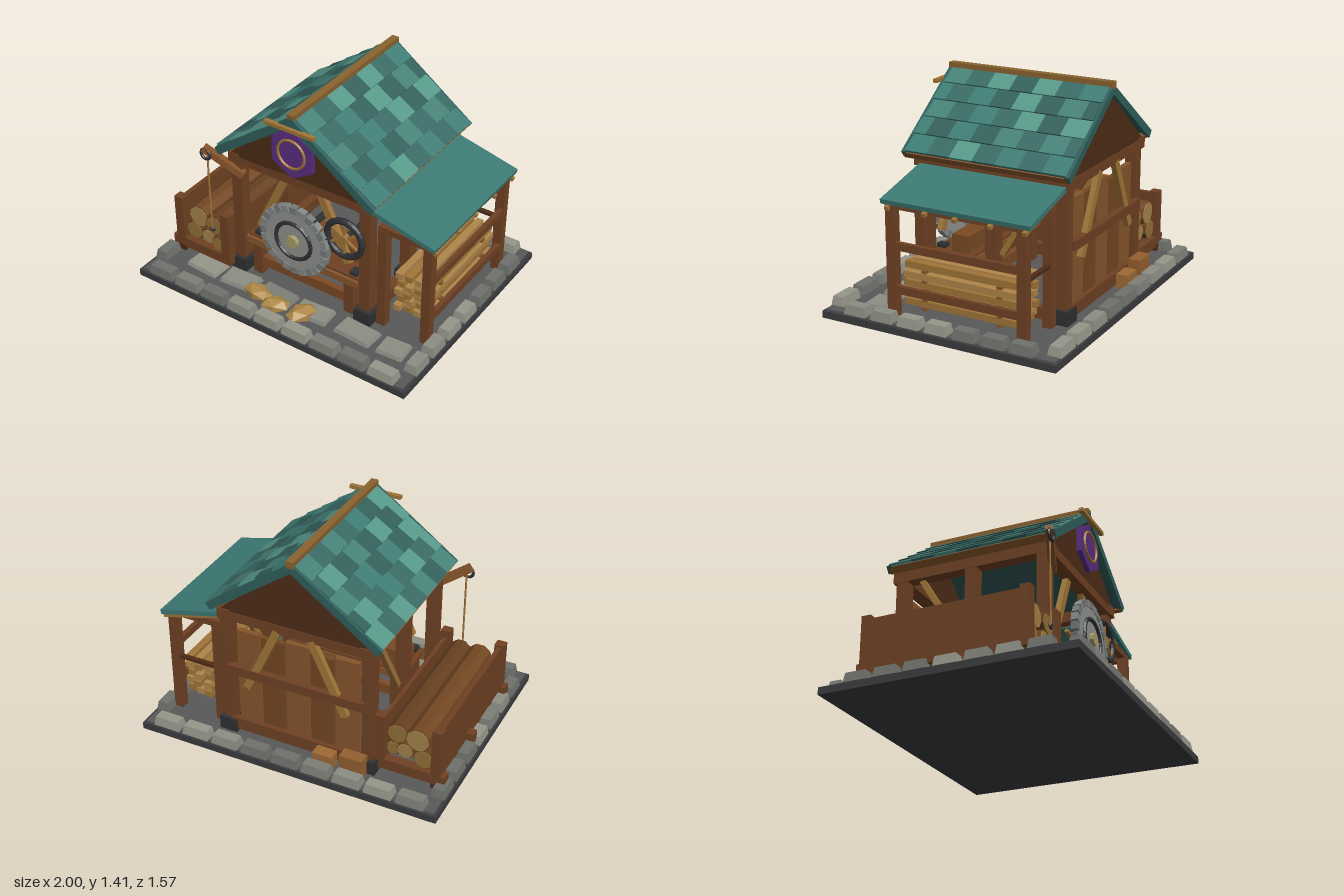
import * as THREE from 'three';

const WOOD = 0x6f4123, DARK = 0x4d2c17, PLANK = 0x87552b, GOLD = 0xa07538, IRON = 0x2e3033, TEAL = 0x3d7a74;
const STONES = [0x7d7f77, 0x8c8e84, 0x6f726c, 0x96968a];
const TILES = [0x3f7d75, 0x34605c, 0x57998a, 0x396a65, 0x478279];

const mats = {};
const mat = (color) => (mats[color] ??= new THREE.MeshStandardMaterial({ color, flatShading: true }));

let seed = 7;
const rand = () => (seed = (seed * 16807) % 2147483647) / 2147483647;
const pick = (list) => list[Math.floor(rand() * list.length)];

export function createModel() {
  const root = new THREE.Group();
  root.name = 'sawmill';
  const group = (name, parent = root) => {
    const g = new THREE.Group();
    g.name = name;
    parent.add(g);
    return g;
  };
  const add = (parent, name, geometry, color, x = 0, y = 0, z = 0) => {
    const m = new THREE.Mesh(geometry, mat(color));
    m.name = name;
    m.position.set(x, y, z);
    parent.add(m);
    return m;
  };
  // Box given by its limits on each axis
  const span = (parent, name, color, [x0, x1], [y0, y1], [z0, z1]) =>
    add(parent, name, new THREE.BoxGeometry(x1 - x0, y1 - y0, z1 - z0), color,
      (x0 + x1) / 2, (y0 + y1) / 2, (z0 + z1) / 2);
  // Square timber between two points
  const beam = (parent, name, color, a, b, w, h = w) => {
    const p = new THREE.Vector3(...a), q = new THREE.Vector3(...b);
    const m = add(parent, name, new THREE.BoxGeometry(w, h, p.distanceTo(q)), color);
    m.position.copy(p).lerp(q, 0.5);
    m.lookAt(q);
    return m;
  };
  // Disc or log whose axis runs along z
  const disc = (parent, name, color, r, depth, x, y, z, sides = 24) =>
    add(parent, name, new THREE.CylinderGeometry(r, r, depth, sides).rotateX(Math.PI / 2), color, x, y, z);
  // Stone block narrowing toward its top
  const stone = (parent, name, w, h, d, x, y, z) => {
    const geo = new THREE.BoxGeometry(w, h, d), p = geo.attributes.position;
    for (let i = 0; i < p.count; i++)
      if (p.getY(i) > 0) p.setXYZ(i, p.getX(i) - Math.sign(p.getX(i)) * 0.01, p.getY(i), p.getZ(i) - Math.sign(p.getZ(i)) * 0.01);
    return add(parent, name, geo, pick(STONES), x, y, z);
  };

  // Ground slab, border stones and paving
  const base = group('base');
  span(base, 'slab', 0x3b3c3e, [-1, 1], [0, 0.045], [-0.787, 0.787]);
  span(base, 'ground', 0x58585a, [-0.98, 0.98], [0.045, 0.055], [-0.77, 0.77]);
  for (const s of [-1, 1]) {
    for (let i = -4; i <= 4; i++) stone(base, 'borderStone', 0.18, 0.06, 0.09, i * 0.207, 0.082, s * 0.735);
    for (let i = -3; i <= 3; i++) stone(base, 'borderStone', 0.09, 0.06, 0.15, s * 0.945, 0.082, i * 0.187);
  }
  [[-0.65, 0.24], [-0.38, 0.24], [-0.1, 0.25], [0.18, 0.24], [0.5, 0.26], [0.76, 0.18]].forEach(([x, w], i) => {
    stone(base, 'pavingStone', w, 0.03, 0.15, x, 0.066, 0.52).rotation.y = (i % 2 ? 1 : -1) * 0.06;
  });

  // Main timber frame
  const frame = group('frame');
  const FRONT = 0.37, MID = -0.095, BACK = -0.56;
  for (const s of [-1, 1]) {
    for (const z of [FRONT, MID, BACK]) {
      add(frame, 'post', new THREE.BoxGeometry(0.075, 0.86, 0.075), WOOD, s * 0.47, 0.49, z);
      add(frame, 'ironFoot', new THREE.BoxGeometry(0.12, 0.09, 0.12), IRON, s * 0.47, 0.1, z);
    }
    span(frame, 'wallPlate', WOOD, [s * 0.47 - 0.04, s * 0.47 + 0.04], [0.88, 0.95], [-0.62, 0.43]);
    beam(frame, 'sideBrace', GOLD, [s * 0.46, 0.4, -0.15], [s * 0.46, 0.88, -0.44], 0.035);
    for (const z of [FRONT - 0.01, BACK - 0.04])
      beam(frame, 'gableBrace', GOLD, [s * 0.33, 0.42, z], [s * 0.11, 0.89, z], 0.035, 0.05);
  }
  for (const z of [FRONT + 0.01, BACK - 0.01])
    span(frame, 'tieBeam', WOOD, [-0.51, 0.51], [0.88, 0.94], [z - 0.045, z + 0.045]);
  span(frame, 'sideSill', WOOD, [-0.5, -0.44], [0.055, 0.13], [BACK, FRONT]);
  span(frame, 'sideSill', WOOD, [0.44, 0.5], [0.055, 0.13], [BACK, FRONT]);

  // Gable triangles
  const tri = new THREE.Shape([[-0.51, 0], [0.51, 0], [0, 0.41]].map(([x, y]) => new THREE.Vector2(x, y)));
  for (const z of [0.39, -0.61])
    add(frame, 'gable', new THREE.ExtrudeGeometry(tri, { depth: 0.035, bevelEnabled: false }), DARK, 0, 0.93, z);

  // Back wall of uneven boards with two rails
  const wall = group('backWall');
  [0.8, 0.78, 0.81, 0.79, 0.8].forEach((top, i) => {
    const x = (i - 2) * 0.164;
    span(wall, 'board', i % 2 ? 0x744722 : PLANK, [x - 0.074, x + 0.074], [0.08, top], [-0.58, -0.545]);
  });
  span(wall, 'rail', WOOD, [-0.45, 0.45], [0.5, 0.56], [-0.625, -0.58]);
  span(wall, 'sill', WOOD, [-0.45, 0.45], [0.08, 0.16], [-0.61, -0.57]);
  span(wall, 'crate', 0x94602f, [-0.48, -0.33], [0.055, 0.19], [-0.69, -0.61]);
  span(wall, 'crate', 0xa06a35, [-0.28, -0.15], [0.055, 0.15], [-0.69, -0.61]);

  // Main roof: two slopes with staggered courses of tiles
  const roof = group('roof');
  const ang = 0.628, len = 0.69, row = len / 5;
  for (const s of [-1, 1]) {
    const slope = group('roofSlope', roof);
    slope.position.y = 1.375;
    slope.rotation.z = -s * ang;
    add(slope, 'slab', new THREE.BoxGeometry(len, 0.025, 1.09), 0x2f5855, s * len / 2, -0.012, -0.08);
    for (const z of [0.462, -0.622])
      add(slope, 'bargeboard', new THREE.BoxGeometry(len + 0.01, 0.05, 0.03), 0x2f5f5b, s * (len + 0.01) / 2, -0.012, z);
    for (let r = 0; r < 5; r++) {
      for (let c = 0; c < 8; c++) {
        const shift = r % 2 ? 0.076 : 0;
        const z0 = Math.max(-0.62, -0.62 + c * 0.153 - shift), z1 = Math.min(0.46, -0.62 + (c + 1) * 0.153 - shift);
        if (z1 - z0 < 0.02) continue;
        const color = (r + c) % 2 ? pick([TILES[1], TILES[3]]) : pick([TILES[0], TILES[2], TILES[4]]);
        add(slope, 'tile', new THREE.BoxGeometry(row + 0.012, 0.016, z1 - z0), color,
          s * (r + 0.5) * row, 0.011, (z0 + z1) / 2).rotation.z = s * 0.06;
      }
    }
    add(slope, 'eaveTrim', new THREE.BoxGeometry(0.025, 0.045, 1.09), PLANK, s * (len - 0.002), -0.02, -0.075);
  }
  span(roof, 'ridgeBeam', 0x8a622f, [-0.024, 0.024], [1.365, 1.408], [-0.64, 0.475]);

  // Hexagonal plaque with a plain ring, hung from a bar
  const plaque = group('plaque');
  disc(plaque, 'hexPanel', 0x5b2d82, 0.165, 0.03, 0, 1.135, 0.455, 6).rotation.z = 0;
  add(plaque, 'ring', new THREE.TorusGeometry(0.095, 0.009, 6, 24), GOLD, 0, 1.14, 0.475);
  span(plaque, 'hangingBar', GOLD, [-0.175, 0.175], [1.305, 1.328], [0.47, 0.5]);

  // Side lean-to with roof, posts and rails
  const shed = group('leanTo');
  beam(shed, 'shedRoof', TEAL, [0.5, 0.885, -0.1], [0.93, 0.78, -0.1], 0.98, 0.03);
  for (const z of [-0.55, -0.33, -0.1, 0.1, 0.35])
    beam(shed, 'rafter', GOLD, [0.5, 0.855, z], [0.93, 0.74, z], 0.025, 0.025);
  for (const z of [0.345, -0.52]) {
    for (const x of [0.57, 0.878]) span(shed, 'post', WOOD, [x - 0.029, x + 0.029], [0.055, 0.77], [z - 0.03, z + 0.03]);
    span(shed, 'crossBeam', WOOD, [0.54, 0.91], [0.75, 0.79], [z - 0.025, z + 0.025]);
  }
  span(shed, 'sideBeam', WOOD, [0.855, 0.9], [0.735, 0.775], [-0.55, 0.375]);
  for (const y of [0.24, 0.51]) span(shed, 'rail', WOOD, [0.875, 0.905], [y - 0.024, y + 0.024], [-0.5, 0.33]);
  span(shed, 'backRail', DARK, [0.58, 0.87], [0.43, 0.45], [-0.54, -0.51]);

  // Stacked lumber under the lean-to
  const lumber = group('lumber');
  for (let r = 0; r < 5; r++) {
    const y = 0.16 + r * 0.058;
    for (let c = 0; c < 4; c++) {
      const x = 0.63 + c * 0.066 + (r % 2) * 0.014, dz = (rand() - 0.5) * 0.03;
      span(lumber, 'plank', (r + c) % 2 ? GOLD : 0xb0854a, [x - 0.024, x + 0.024], [y - 0.02, y + 0.02], [-0.47 + dz, 0.28 + dz]);
    }
    for (const z of [-0.35, 0.15]) span(lumber, 'spacer', PLANK, [0.61, 0.86], [y - 0.038, y - 0.02], [z - 0.015, z + 0.015]);
  }

  // Log rack on the other side
  const rack = group('logRack');
  span(rack, 'outerWall', WOOD, [-0.915, -0.885], [0.1, 0.455], [-0.54, 0.44]);
  span(rack, 'innerWall', WOOD, [-0.545, -0.52], [0.1, 0.42], [-0.54, 0.44]);
  for (const z of [-0.54, -0.09, 0.45]) {
    span(rack, 'sill', WOOD, [-0.96, -0.5], [0.09, 0.16], [z - 0.03, z + 0.03]);
    span(rack, 'foot', DARK, [-0.93, -0.87], [0.05, 0.1], [z - 0.03, z + 0.03]);
  }
  for (const z of [-0.54, 0.45])
    for (const x of [-0.9, -0.535]) span(rack, 'stake', WOOD, [x - 0.032, x + 0.032], [0.1, 0.47], [z - 0.03, z + 0.03]);
  [[-0.81, 0.225, 0.068], [-0.685, 0.235, 0.055], [-0.6, 0.22, 0.05], [-0.77, 0.35, 0.08], [-0.635, 0.345, 0.07]]
    .forEach(([x, y, r], i) => {
      const dz = (i % 3) * 0.015;
      disc(rack, 'log', i % 2 ? 0x744722 : 0x66401f, r, 0.98, x, y, -0.05 + dz, 9);
      disc(rack, 'logEnds', i % 2 ? 0xa5834a : 0x927038, r * 0.9, 0.99, x, y, -0.05 + dz, 9);
    });

  // Saw bench with a timber carriage
  const bench = group('sawBench');
  for (const z of [0.1, 0.36]) {
    span(bench, 'benchRail', PLANK, [-0.43, 0.43], [0.27, 0.315], [z - 0.03, z + 0.03]);
    span(bench, 'stretcher', 0x7c4a25, [-0.33, 0.33], [0.12, 0.19], [z - 0.02, z + 0.02]);
    for (const x of [-0.345, 0.345]) span(bench, 'leg', WOOD, [x - 0.033, x + 0.033], [0.055, 0.27], [z - 0.03, z + 0.03]);
  }
  span(bench, 'benchTop', WOOD, [-0.42, 0.42], [0.305, 0.33], [0.08, 0.37]);
  span(bench, 'timber', 0x7a4a24, [-0.4, 0.4], [0.33, 0.44], [0.12, 0.24]);
  for (const x of [-0.36, 0.36]) span(bench, 'clamp', IRON, [x - 0.025, x + 0.025], [0.315, 0.355], [0.3, 0.36]);

  // Great toothed blade
  const blade = group('sawBlade');
  blade.position.set(0, 0.51, 0.455);
  disc(blade, 'disc', 0x8f938f, 0.215, 0.03, 0, 0, 0, 32);
  for (let i = 0; i < 24; i++) {
    const a = (i / 24) * Math.PI * 2;
    add(blade, 'tooth', new THREE.BoxGeometry(0.045, 0.05, 0.042), i % 2 ? 0x858a88 : 0x777c7b,
      Math.cos(a) * 0.225, Math.sin(a) * 0.225, 0).rotation.z = a + 0.08;
  }
  add(blade, 'ironRing', new THREE.TorusGeometry(0.128, 0.014, 6, 28), IRON, 0, 0, 0.018);
  disc(blade, 'hub', 0xa7a06a, 0.042, 0.06, 0, 0, 0.01, 10);
  disc(blade, 'axle', IRON, 0.022, 0.36, 0, 0, -0.17, 8);

  // Spoked drive wheel
  const drive = group('driveWheel');
  drive.position.set(0.34, 0.645, 0.425);
  add(drive, 'rim', new THREE.TorusGeometry(0.124, 0.021, 8, 28), IRON);
  for (let i = 0; i < 3; i++)
    add(drive, 'spokes', new THREE.BoxGeometry(0.23, 0.014, 0.014), GOLD).rotation.z = i * Math.PI / 3 + Math.PI / 6;
  disc(drive, 'hub', GOLD, 0.03, 0.04, 0, 0, 0, 10);
  disc(drive, 'axle', IRON, 0.015, 0.2, 0, 0, -0.1, 8);

  // Hoist arm with pulley and rope
  const hoist = group('hoist');
  beam(hoist, 'arm', PLANK, [-0.42, 0.79, 0.4], [-0.66, 0.945, 0.48], 0.045);
  add(hoist, 'pulley', new THREE.TorusGeometry(0.035, 0.01, 6, 16), IRON, -0.64, 0.905, 0.485);
  add(hoist, 'rope', new THREE.CylinderGeometry(0.006, 0.006, 0.54, 6), GOLD, -0.635, 0.62, 0.475);
  add(hoist, 'hook', new THREE.TorusGeometry(0.018, 0.006, 5, 12, 4.6), IRON, -0.635, 0.335, 0.475).rotation.z = 2.6;

  // Heaps of wood chips in front
  const chips = group('woodChips');
  [[-0.21, 0.57, 0.115, 0.065, 0.15], [-0.05, 0.605, 0.1, 0.07, -0.35], [0.13, 0.58, 0.11, 0.075, -1.2]].forEach(([x, z, a, b, turn]) => {
    const m = add(chips, 'chipHeap', new THREE.IcosahedronGeometry(1), 0xb08a48, x, 0.08, z);
    m.scale.set(a, 0.045, b);
    m.rotation.y = -turn;
  });
  return root;
}
